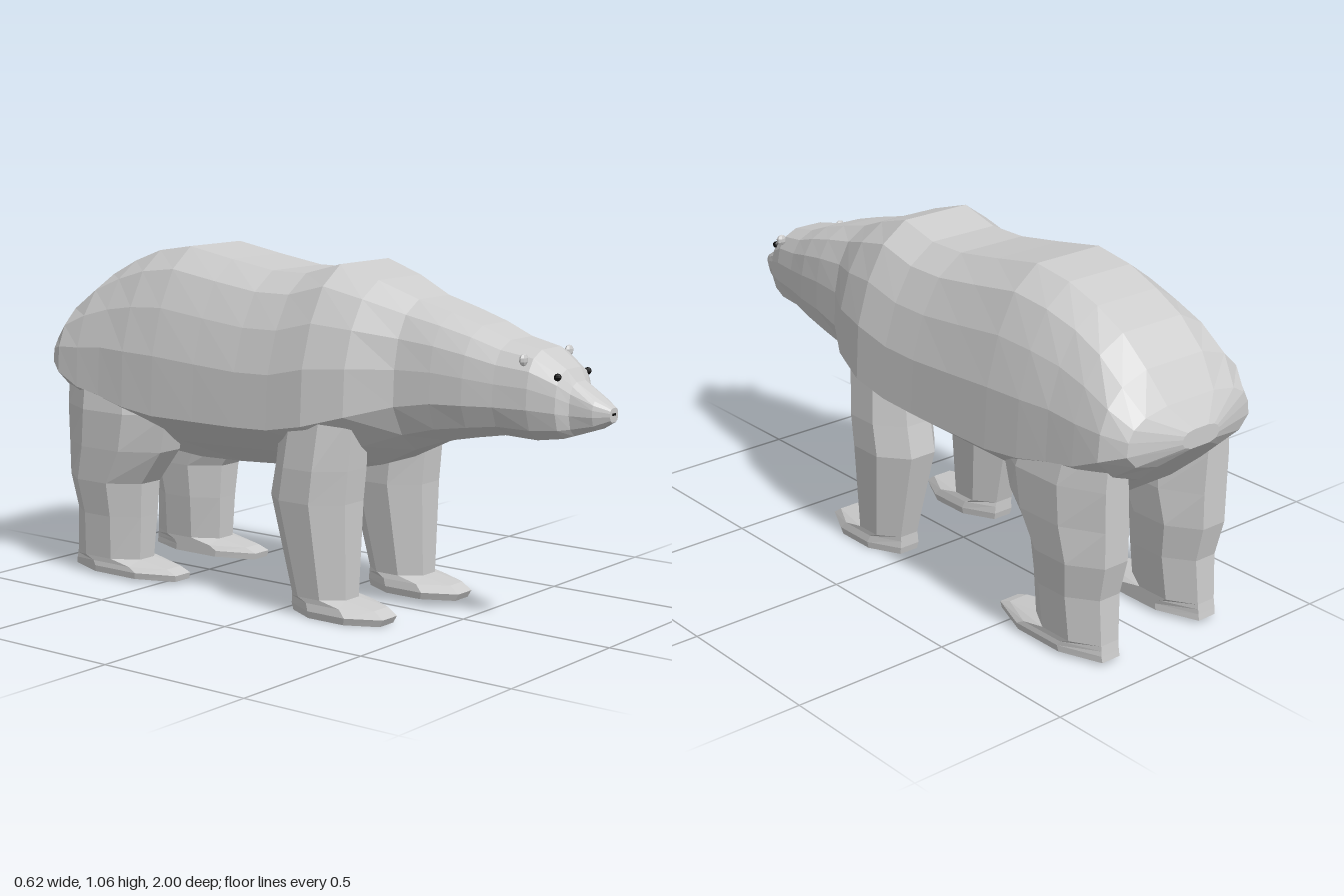
import * as THREE from 'three';

const fur = new THREE.MeshStandardMaterial({ color: 0xcccccc, flatShading: true });
const black = new THREE.MeshStandardMaterial({ color: 0x0a0a0a, flatShading: true });

// Skin a list of equal-length rings, closing both ends
function loft(rings) {
  const n = rings[0].length, pos = rings.flat(2), idx = [];
  for (let r = 0; r < rings.length - 1; r++) {
    for (let i = 0; i < n; i++) {
      const a = r * n + i, b = r * n + (i + 1) % n;
      idx.push(a, b, b + n, a, b + n, a + n);
    }
  }
  const last = (rings.length - 1) * n;
  for (let i = 1; i < n - 1; i++) {
    idx.push(0, i + 1, i, last, last + i, last + i + 1);
  }
  const g = new THREE.BufferGeometry();
  g.setAttribute('position', new THREE.Float32BufferAttribute(pos, 3));
  g.setIndex(idx);
  const flat = g.toNonIndexed();
  flat.computeVertexNormals();
  return flat;
}

function add(parent, name, geometry, material = fur) {
  const mesh = new THREE.Mesh(geometry, material);
  mesh.name = name;
  parent.add(mesh);
  return mesh;
}

// Half outlines from belly to back: barrel-shaped trunk and rounder head
const TRUNK = [[0.26, -1], [0.6, -0.6], [1, -0.06], [0.97, 0.35], [0.84, 0.64], [0.65, 0.87], [0.38, 1]];
const HEAD = [[0.5, -1], [0.85, -0.7], [1, -0.15], [0.98, 0.3], [0.9, 0.62], [0.72, 0.86], [0.38, 1]];

function bodyRing([z, top, bottom, mid, width, round]) {
  const half = TRUNK.map(([u, v], i) => {
    const x = THREE.MathUtils.lerp(u, HEAD[i][0], round) * width;
    const h = THREE.MathUtils.lerp(v, HEAD[i][1], round);
    return [x, mid + h * (h > 0 ? top - mid : mid - bottom), z];
  });
  return [...half, ...half.map(([x, y, d]) => [-x, y, d]).reverse()];
}

// z, top, bottom, height of widest point, half width, roundness
const BODY = [
  [-1.0, 0.71, 0.655, 0.68, 0.07, 1],
  [-0.955, 0.78, 0.61, 0.68, 0.235, 1],
  [-0.89, 0.87, 0.55, 0.66, 0.28, 0.7],
  [-0.8, 0.95, 0.47, 0.62, 0.29, 0.3],
  [-0.7, 1.0, 0.42, 0.6, 0.295, 0],
  [-0.59, 1.04, 0.4, 0.575, 0.305, 0],
  [-0.46, 1.06, 0.39, 0.56, 0.31, 0],
  [-0.29, 1.03, 0.395, 0.56, 0.31, 0],
  [-0.13, 1.005, 0.405, 0.56, 0.31, 0],
  [0.0, 1.005, 0.41, 0.565, 0.31, 0],
  [0.13, 1.04, 0.42, 0.59, 0.31, 0],
  [0.26, 1.0, 0.45, 0.63, 0.275, 0.2],
  [0.385, 0.95, 0.51, 0.67, 0.2, 0.7],
  [0.5, 0.92, 0.55, 0.69, 0.185, 1],
  [0.6, 0.89, 0.57, 0.69, 0.17, 1],
  [0.69, 0.855, 0.585, 0.69, 0.148, 1],
  [0.79, 0.835, 0.58, 0.69, 0.128, 1],
  [0.865, 0.785, 0.59, 0.68, 0.097, 1],
  [0.89, 0.75, 0.598, 0.67, 0.063, 1],
  [0.955, 0.71, 0.62, 0.665, 0.047, 1],
  [0.998, 0.685, 0.645, 0.665, 0.022, 1],
];

// Chamfered eight-sided slice of a leg, anticlockwise from above
function legRing([y, xIn, xOut, zBack, zFront], side) {
  const cx = side * (xIn + xOut) / 2, cz = (zBack + zFront) / 2;
  const w = (xOut - xIn) / 2, d = (zFront - zBack) / 2, c = 0.4;
  return [[1, c], [1, -c], [c, -1], [-c, -1], [-1, -c], [-1, c], [-c, 1], [c, 1]]
    .map(([u, v]) => [cx + u * w, y, cz + v * d]);
}

// Height, inner x, outer x, back z, front z; the lowest slices form the paw
const FRONT_LEG = [
  [0.0, 0.11, 0.275, 0.035, 0.36],
  [0.022, 0.105, 0.28, 0.03, 0.372],
  [0.045, 0.11, 0.275, 0.03, 0.34],
  [0.06, 0.115, 0.275, 0.03, 0.235],
  [0.35, 0.08, 0.305, -0.04, 0.24],
  [0.45, 0.078, 0.305, -0.02, 0.25],
  [0.62, 0.1, 0.29, 0.0, 0.265],
];
const HIND_LEG = [
  [0.01, 0.11, 0.275, -0.875, -0.445],
  [0.03, 0.11, 0.278, -0.872, -0.44],
  [0.045, 0.11, 0.275, -0.87, -0.48],
  [0.06, 0.11, 0.275, -0.868, -0.595],
  [0.2, 0.095, 0.285, -0.86, -0.585],
  [0.31, 0.085, 0.3, -0.885, -0.575],
  [0.42, 0.08, 0.305, -0.885, -0.49],
  [0.54, 0.09, 0.305, -0.885, -0.46],
  [0.68, 0.12, 0.275, -0.885, -0.5],
];

export function createModel() {
  const bear = new THREE.Group();
  bear.name = 'bear';

  // Trunk, neck, head and muzzle in one skin
  add(bear, 'body', loft(BODY.map(bodyRing)));

  for (const side of [1, -1]) {
    const label = side > 0 ? 'left' : 'right';
    // Legs with paws
    add(bear, label + 'FrontLeg', loft(FRONT_LEG.map((s) => legRing(s, side))));
    add(bear, label + 'HindLeg', loft(HIND_LEG.map((s) => legRing(s, side))));
    // Small round ears
    const ear = add(bear, label + 'Ear', new THREE.SphereGeometry(0.018, 7, 5));
    ear.position.set(side * 0.118, 0.813, 0.775);
    ear.scale.z = 0.6;
    // Eyes
    const eye = add(bear, label + 'Eye', new THREE.SphereGeometry(0.011, 8, 6), black);
    eye.position.set(side * 0.079, 0.767, 0.862);
  }

  // Nose
  const nose = add(bear, 'nose', new THREE.SphereGeometry(0.03, 10, 6), black);
  nose.scale.set(1, 0.62, 0.7);
  nose.position.set(0, 0.667, 0.979);

  return bear;
}
